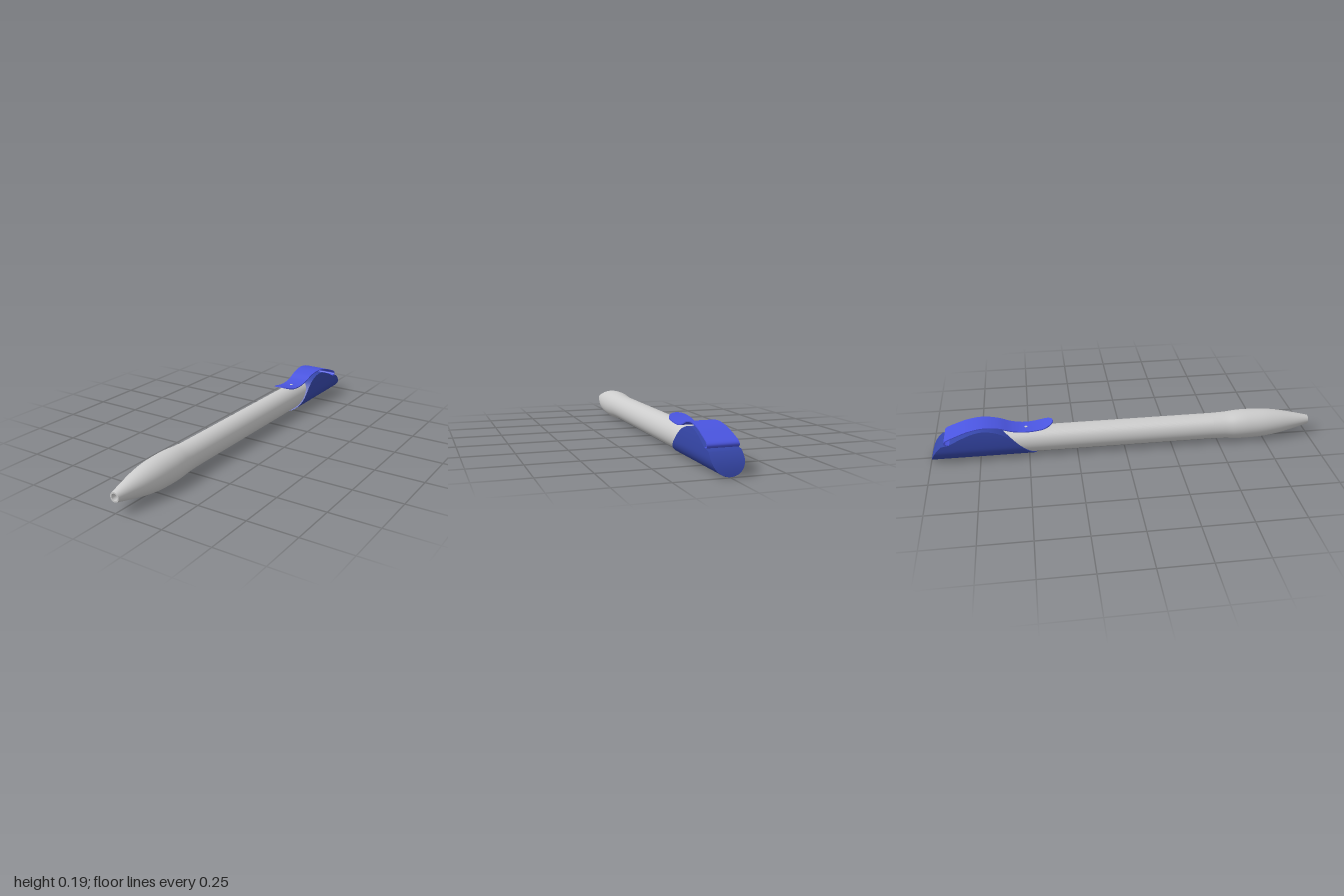
import * as THREE from 'three';
import { toCreasedNormals } from 'three/addons/utils/BufferGeometryUtils.js';

const AXIS = 0.08; // height of the barrel axis
const V2 = (x, y) => new THREE.Vector2(x, y);
const spline = (pts, n) => new THREE.SplineCurve(pts.map(p => V2(...p))).getPoints(n);

// Smooth shading with sharp edges (scaled up so close vertices stay distinct)
function crease(geo, angle = 0.6) {
  const out = toCreasedNormals(geo.scale(100, 100, 100), angle);
  return out.scale(0.01, 0.01, 0.01);
}

// Skin over closed rings, counter-clockwise seen from +z and running towards -z
function loft(rings) {
  const n = rings[0].length, index = [];
  for (let i = 0; i < rings.length - 1; i++) {
    for (let j = 0; j < n; j++) {
      const a = i * n + j, b = i * n + (j + 1) % n;
      index.push(a, a + n, b, b, a + n, b + n);
    }
  }
  const geo = new THREE.BufferGeometry();
  geo.setAttribute('position', new THREE.Float32BufferAttribute(rings.flat(2), 3));
  geo.setIndex(index);
  return crease(geo);
}

// Turned barrel with a bulged grip and an open bore at the tip
function barrelGeometry() {
  const grip = spline([[0.068, 0.47], [0.0705, 0.54], [0.0755, 0.6], [0.077, 0.66],
    [0.0735, 0.75], [0.063, 0.83], [0.046, 0.91], [0.024, 1]], 48);
  const profile = [V2(0, -0.78), V2(0.068, -0.78), ...grip, V2(0.017, 1), V2(0.017, 0.96)];
  const geo = new THREE.LatheGeometry(profile, 64);
  return crease(geo.rotateX(Math.PI / 2).translate(0, AXIS, 0));
}

// Cap: a U-shaped trough cut off above by the humped side profile
function capGeometry() {
  const R = 0.075, base = AXIS - R, steps = 20;
  const hump = spline([[-0.46, 0.006], [-0.53, 0.068], [-0.6, 0.13], [-0.66, 0.16],
    [-0.725, 0.171], [-0.78, 0.163], [-0.84, 0.141], [-0.9, 0.112]], 48);
  const end = new THREE.QuadraticBezierCurve(V2(-0.94, 0.105), V2(-0.985, 0.07), V2(-1, 0.0055)).getPoints(16);
  const halfWidth = y => y < AXIS
    ? Math.sqrt(Math.max(0, R * R - (y - AXIS) ** 2))
    : R - 1.1 * (y - AXIS) ** 2;
  const rings = [...hump, ...end].map(({ x: z, y: h }) => {
    const ring = [];
    for (let j = -steps; j <= steps; j++) {
      const y = base + (h - base) * (1 - Math.cos(j / steps * Math.PI / 2));
      ring.push([Math.sign(j) * halfWidth(y), y, z]);
    }
    return ring;
  });
  return loft(rings);
}

// Clip: thin wavy strip, rounded at the free end and folded down at the back
function clipGeometry() {
  const T = 0.0025;
  const path = new THREE.SplineCurve([[-0.37, 0.177], [-0.43, 0.157], [-0.51, 0.148],
    [-0.58, 0.157], [-0.65, 0.18], [-0.725, 0.189], [-0.8, 0.178], [-0.87, 0.154],
    [-0.917, 0.133], [-0.92, 0.116], [-0.89, 0.11]].map(p => V2(...p)));
  const widths = new THREE.SplineCurve([V2(-0.37, 0.056), V2(-0.5, 0.052), V2(-0.62, 0.055),
    V2(-0.72, 0.062), V2(-0.82, 0.068), V2(-0.93, 0.073)]).getPoints(60);
  const rings = [];
  for (let i = 0; i <= 100; i++) {
    const t = (i / 100) ** 1.4; // closer sections at the rounded tip
    const p = path.getPoint(t), d = path.getTangent(t);
    let w = widths.reduce((a, b) => Math.abs(b.x - p.x) < Math.abs(a.x - p.x) ? b : a).y;
    const k = (p.x + 0.435) / 0.065;
    if (k > 0) w *= Math.sqrt(Math.max(0, 1 - k * k));
    const corner = (x, s) => [x, p.y - s * d.x, p.x + s * d.y];
    rings.push([corner(-w, -T), corner(w, -T), corner(w, T), corner(-w, T)]);
  }
  return loft(rings);
}

export function createModel() {
  const model = new THREE.Group();
  model.name = 'pen';
  const material = color => new THREE.MeshStandardMaterial({ color });
  const grey = material(0xcccccc), navy = material(0x3546a8), blue = material(0x4a55e0);
  const add = (name, geo, mat) => {
    const mesh = new THREE.Mesh(geo, mat);
    mesh.name = name;
    model.add(mesh);
    return mesh;
  };

  add('barrel', barrelGeometry(), grey);
  add('refill', new THREE.CircleGeometry(0.0175, 32), navy).position.set(0, AXIS, 0.965);
  add('cap', capGeometry(), navy);
  add('clip', clipGeometry(), blue);
  // Small contact point showing through the clip
  add('clipPin', new THREE.CylinderGeometry(0.008, 0.008, 0.01, 16), grey).position.set(0, 0.1465, -0.51);
  return model;
}
